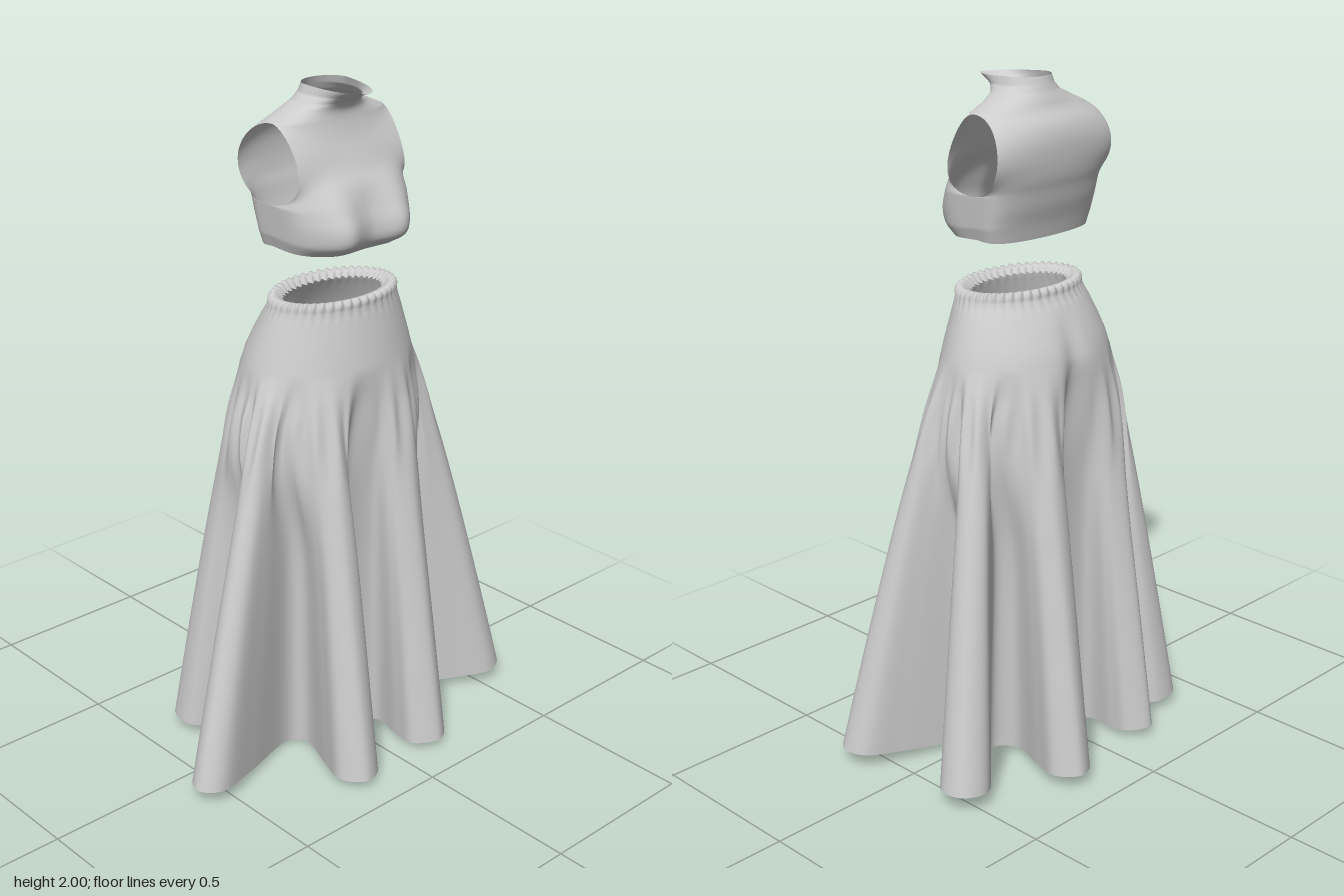
import * as THREE from 'three';
import { mergeGeometries, mergeVertices } from 'three/addons/utils/BufferGeometryUtils.js';

const TAU = Math.PI * 2;
const CX = 0.035; // the body axis sits slightly to the left of the origin
const { lerp, clamp } = THREE.MathUtils;
const bell = (x, c, w) => Math.exp(-(((x - c) / w) ** 2));

// Surface from a function of column (counter-clockwise) and row (upward)
function gridSurface(cols, rows, fn) {
  const pos = [], idx = [];
  for (let j = 0; j <= rows; j++)
    for (let i = 0; i <= cols; i++) pos.push(...fn(i / cols, j / rows));
  for (let j = 0; j < rows; j++)
    for (let i = 0; i < cols; i++) {
      const a = j * (cols + 1) + i, b = a + 1, c = a + cols + 1, d = c + 1;
      idx.push(a, b, d, a, d, c);
    }
  const g = new THREE.BufferGeometry();
  g.setAttribute('position', new THREE.Float32BufferAttribute(pos, 3));
  g.setIndex(idx);
  return g;
}

// Weld seams and give smooth normals
function weld(parts) {
  const g = mergeVertices(mergeGeometries(parts), 1e-4);
  g.computeVertexNormals();
  return g;
}

// Linear lookup in a list of key rows
function sample(keys, t) {
  const i = clamp(Math.floor(t), 0, keys.length - 2);
  return keys[i].map((k, n) => lerp(k, keys[i + 1][n], t - i));
}

// ---- Bodice: front and back panels that part around the armholes ----
// Side seam [half width, y]; rows 3 to 8 follow the armhole
const SEAM_LOW = [[0.197, 1.566], [0.208, 1.6], [0.213, 1.65], [0.217, 1.69]];
const SEAM_TOP = [[0.2, 1.912], [0.15, 1.933], [0.105, 1.953], [0.083, 1.975], [0.075, 2]];
// Centre lines [bust depth, y, z]
const FRONT = [
  [0.018, 1.555, 0.148], [0.04, 1.585, 0.173], [0.043, 1.63, 0.175], [0.03, 1.685, 0.16],
  [0.012, 1.735, 0.143], [0, 1.78, 0.116], [0, 1.83, 0.091], [0, 1.87, 0.075], [0, 1.91, 0.065],
  [0, 1.935, 0.066], [0, 1.955, 0.08], [0, 1.972, 0.108], [0, 1.99, 0.155],
];
const BACK = [
  [0, 1.56, -0.105], [0, 1.605, -0.115], [0, 1.655, -0.13], [0, 1.7, -0.14],
  [0, 1.74, -0.15], [0, 1.79, -0.155], [0, 1.84, -0.153], [0, 1.88, -0.14], [0, 1.915, -0.112],
  [0, 1.94, -0.1], [0, 1.96, -0.09], [0, 1.98, -0.082], [0, 2, -0.075],
];
const SEAM_Z = -0.012;

// Edge half width, height and depth at a row
function seamPoint(r, side) {
  if (r <= 3) return [...sample(SEAM_LOW, r), 0];
  if (r >= 8) return [...sample(SEAM_TOP, r - 8), 0];
  const a = Math.PI * (r - 3) / 5, s = Math.sin(a);
  const depth = side > 0 ? 0.11 * Math.sin(a + 0.35 * s) : -0.113 * s;
  const flare = side > 0 ? -0.012 : 0.018;
  return [lerp(0.217, 0.2, (r - 3) / 5) + flare * s * s, 1.801 - 0.111 * Math.cos(a), depth];
}

function bodicePanel(keys, side) {
  const mid = new THREE.CatmullRomCurve3(keys.map(k => new THREE.Vector3(...k)), false, 'catmullrom', 0.5);
  const lowPower = side > 0 ? 0.52 : 0.45;
  return gridSurface(56, 84, (u, v) => {
    const r = v * 12, m = mid.getPoint(v), reach = m.z - SEAM_Z;
    const [w, ey, depth] = seamPoint(r, side);
    const power = r < 5 ? lerp(lowPower, 0.37, r / 5) : lerp(0.37, 1, clamp((r - 5) / 4, 0, 1));
    // the section is cut where it meets the armhole
    const cut = clamp(depth / reach, 0, 0.96);
    const limit = Math.acos(cut ** (1 / power));
    const phi = (u * 2 - 1) * limit;
    const c = Math.cos(phi);
    const k = c < 1e-6 ? 0 : c ** power;
    const x = w * Math.sin(phi) / Math.sin(limit);
    const z = SEAM_Z + reach * k + m.x * bell(Math.abs(x), 0.11, 0.065) * k;
    return [CX + side * x, lerp(ey, m.y, (k - cut) / (1 - cut)), z];
  });
}

// ---- Skirt: smooth hip yoke flowing into deep hanging folds ----
// Folds [angle at the root, tip x, tip z, half width], front round to the left
const FOLDS = [
  [0.34, 0.14, 0.395, 0.076], [1.25, 0.597, 0.205, 0.074], [1.9, 0.558, -0.265, 0.076],
  [2.64, 0.215, -0.41, 0.07], [3.72, -0.155, -0.355, 0.06], [4.25, -0.375, -0.26, 0.074],
  [5.0, -0.6, 0.14, 0.062], [5.66, -0.18, 0.41, 0.072],
];
const PER = 7;

function hemCurve() {
  const pts = [];
  for (const [a, tx, tz, w] of FOLDS) {
    const root = new THREE.Vector2(CX + 0.265 * Math.sin(a), 0.155 * Math.cos(a));
    const tip = new THREE.Vector2(tx, tz);
    const d = tip.clone().sub(root), len = d.length();
    d.normalize();
    const p = new THREE.Vector2(d.y, -d.x); // sideways, counter-clockwise
    const add = (along, across) => {
      const q = root.clone().addScaledVector(d, along).addScaledVector(p, across * w);
      pts.push(new THREE.Vector3(q.x, 0, q.y));
    };
    add(0, -0.5); add(len * 0.5, -0.8); add(len - 0.05, -0.9);
    add(len, 0);
    add(len - 0.05, 0.9); add(len * 0.5, 0.8); add(0, 0.5);
  }
  return new THREE.CatmullRomCurve3(pts, true, 'catmullrom', 0.5);
}

// Angle on the hip that hangs above a place along the hem
function hipAngle(u) {
  const n = FOLDS.length, q = (u * n * PER - 3) / PER, i = Math.floor(q);
  const at = k => FOLDS[(k + n) % n][0] + TAU * Math.floor(k / n);
  return lerp(at(i), at(i + 1), q - i);
}

// Yoke sections [y, half width, front z, back z, gather depth]
const YOKE = [
  [1.2, 0.283, 0.2, -0.215, 0], [1.25, 0.268, 0.19, -0.2, 0], [1.3, 0.25, 0.179, -0.176, 0],
  [1.35, 0.231, 0.167, -0.147, 0], [1.385, 0.216, 0.158, -0.123, 0.001],
  [1.405, 0.213, 0.16, -0.122, 0.003], [1.416, 0.202, 0.15, -0.112, 0.005],
  [1.412, 0.185, 0.132, -0.096, 0.005], [1.395, 0.17, 0.118, -0.084, 0.004],
];

function yokePoint(u, r) {
  const a = hipAngle(u);
  const [y, w, zf, zb, gather] = sample(YOKE, r);
  const sx = Math.sin(a), sz = Math.cos(a);
  const k = gather * Math.cos(a * 44);
  let z = (zf + zb) / 2 + ((zf - zb) / 2 + k) * sz;
  if (sz < 0) z += 0.02 * bell(sx, 0, 0.15) * clamp(1 - r / 3, 0, 1); // hollow of the back
  return [CX + (w + k) * sx, y + k * 0.5, z];
}

function skirtGeometry() {
  const hem = hemCurve(), DROP = 30, RISE = 16, rows = DROP + RISE;
  return gridSurface(FOLDS.length * PER * 8, rows, (u, v) => {
    const j = Math.round(v * rows);
    if (j >= DROP) return yokePoint(u, (j - DROP) / RISE * (YOKE.length - 1));
    const t = 1 - j / DROP, f = t ** 0.86;
    const top = yokePoint(u, 0), h = hem.getPoint(u % 1), a = hipAngle(u);
    const radius = Math.hypot(h.x, h.z), start = Math.min(1, t * 12);
    const hemY = Math.max(0, 0.1 * (radius - 0.13) - 0.02 * h.z);
    const crease = 0.006 * Math.cos(u * TAU * 32) * bell(t, 0.14, 0.1) * start;
    // the hollows between folds still follow the hips at the sides
    const hips = 0.055 * clamp((0.45 - radius) / 0.2, 0, 1) * bell(t, 0.2, 0.16) * start;
    return [
      lerp(top[0], h.x, f) + (crease + hips) * Math.sin(a),
      lerp(top[1], hemY, t),
      lerp(top[2], h.z, f) + crease * Math.cos(a),
    ];
  });
}

export function createModel() {
  const cloth = new THREE.MeshStandardMaterial({ color: 0xcccccc, side: THREE.DoubleSide });
  cloth.name = 'grey cloth';
  const group = new THREE.Group();
  group.name = 'two piece dress';

  const bodice = new THREE.Mesh(weld([bodicePanel(FRONT, 1), bodicePanel(BACK, -1)]), cloth);
  bodice.name = 'bodice';
  const skirt = new THREE.Mesh(weld([skirtGeometry()]), cloth);
  skirt.name = 'skirt';
  group.add(bodice, skirt);
  return group;
}
